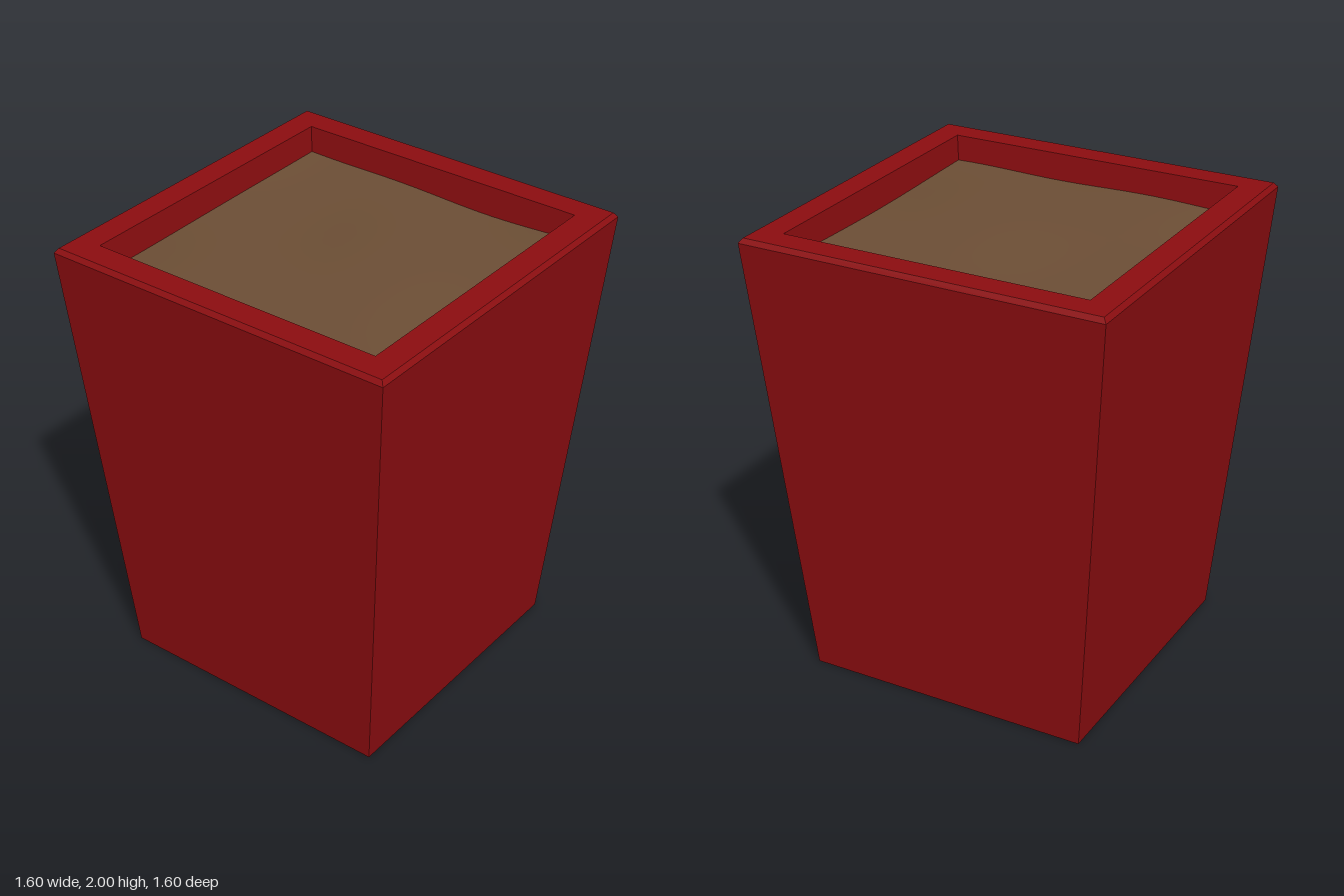
import * as THREE from 'three';

const paint = new THREE.MeshStandardMaterial({ color: 0x8c0d10 });
paint.name = 'red paint';
const earth = new THREE.MeshStandardMaterial({ color: 0x6c4e35 });
earth.name = 'brown soil';

// Square-sided loft from [half width, height] pairs, with flat faces
function squareLoft(profile) {
  const points = profile.map(([half, y]) => new THREE.Vector2(half * Math.SQRT2, y));
  const geometry = new THREE.LatheGeometry(points, 4, Math.PI / 4).toNonIndexed();
  geometry.computeVertexNormals();
  return geometry;
}

export function createModel() {
  const model = new THREE.Group();
  model.name = 'planter';

  // Tapered pot: base, outer walls, bevelled rim, inner walls
  const pot = new THREE.Mesh(squareLoft([
    [0, 0], [0.635, 0], [0.8, 1.98], [0.785, 2], [0.672, 2], [0.655, 1.8],
  ]), paint);
  pot.name = 'pot';
  model.add(pot);

  // Gently uneven soil surface, just below the rim
  const soilGeometry = new THREE.PlaneGeometry(1.326, 1.326, 24, 24).rotateX(-Math.PI / 2);
  const position = soilGeometry.attributes.position;
  for (let i = 0; i < position.count; i++) {
    const x = position.getX(i), z = position.getZ(i);
    const swell = 0.012 * Math.sin(3.1 * x + 1.2) * Math.cos(2.7 * z - 0.5);
    const ripple = 0.005 * Math.sin(7 * x - 4 * z);
    position.setY(i, 1.885 + swell + ripple);
  }
  soilGeometry.computeVertexNormals();
  const soil = new THREE.Mesh(soilGeometry, earth);
  soil.name = 'soil';
  model.add(soil);

  return model;
}
